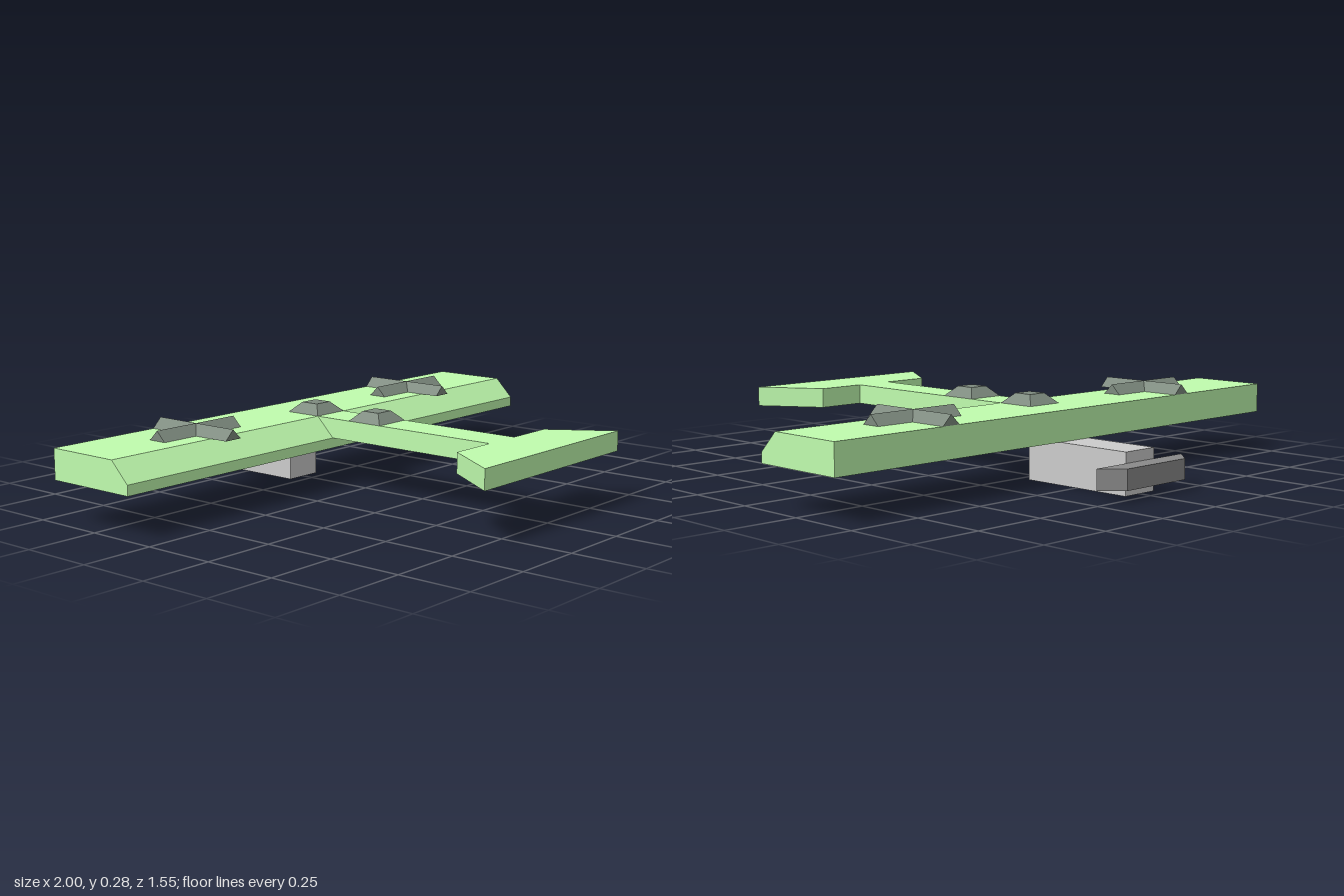
import * as THREE from 'three';

const material = (color) => new THREE.MeshStandardMaterial({ color, flatShading: true });

// Prism with its outline in 2D, extruded evenly about the origin
function prism(points, depth) {
  const shape = new THREE.Shape(points.map(([a, b]) => new THREE.Vector2(a, b)));
  return new THREE.ExtrudeGeometry(shape, { depth, bevelEnabled: false }).translate(0, 0, -depth / 2);
}
// Outline in (z, y), running along x
const sideProfile = (points, width) => prism(points, width).rotateY(-Math.PI / 2);
// Outline in (x, z), with thickness along y
const planProfile = (points, bottom, top) =>
  prism(points, top - bottom).rotateX(Math.PI / 2).translate(0, (bottom + top) / 2, 0);

export function createModel() {
  const model = new THREE.Group();
  const green = material(0xc0fcae);
  const grey = material(0xcccccc);
  const darkGrey = material(0x8a8a8a);
  const slate = material(0x7d8a7e);
  const deck = 0.243, roof = 0.277, half = 0.068;

  const add = (name, geometry, mat, parent = model) => {
    const mesh = new THREE.Mesh(geometry, mat);
    mesh.name = name;
    parent.add(mesh);
    return mesh;
  };

  // Straight wing with a chamfered front edge
  add('wing', sideProfile(
    [[-0.43, 0.14], [-0.09, 0.14], [-0.09, 0.175], [-0.158, deck], [-0.43, deck]], 2), green);

  // Boom widening into the trapezoid plane at its end
  add('boomAndFrontPlane', planProfile(
    [[-half, -0.158], [half, -0.158], [half, 0.57], [0.24, 0.57], [0.375, 0.773],
      [-0.375, 0.773], [-0.24, 0.57], [-half, 0.57]], 0.175, deck), green);

  // Block under the wing with the tapered bar behind it
  add('lowerBody', new THREE.BoxGeometry(half * 2, 0.14, 0.415).translate(0, 0.07, -0.4975), grey);
  add('rearBar', planProfile(
    [[-0.205, -0.705], [-0.14, -0.773], [0.14, -0.773], [0.205, -0.705]], 0.036, 0.104), darkGrey);

  // Crossed ridges on each wing
  for (const side of [-1, 1]) {
    const cross = new THREE.Group();
    cross.name = side > 0 ? 'leftCross' : 'rightCross';
    cross.position.set(side * 0.55, deck, -0.26);
    const ridge = [[-0.034, 0], [0.034, 0], [0, roof - deck]];
    add('crosswiseRidge', sideProfile(ridge, 0.343), slate, cross);
    add('lengthwiseRidge', prism(ridge, 0.34), slate, cross);
    model.add(cross);
  }

  // Square studs with sloped sides along the centre line
  for (const [name, z] of [['frontStud', 0.05], ['rearStud', -0.227]]) {
    const stud = new THREE.CylinderGeometry(
      0.034 * Math.SQRT2, half * Math.SQRT2, roof - deck, 4).rotateY(Math.PI / 4);
    add(name, stud, slate).position.set(0, (deck + roof) / 2, z);
  }
  return model;
}
